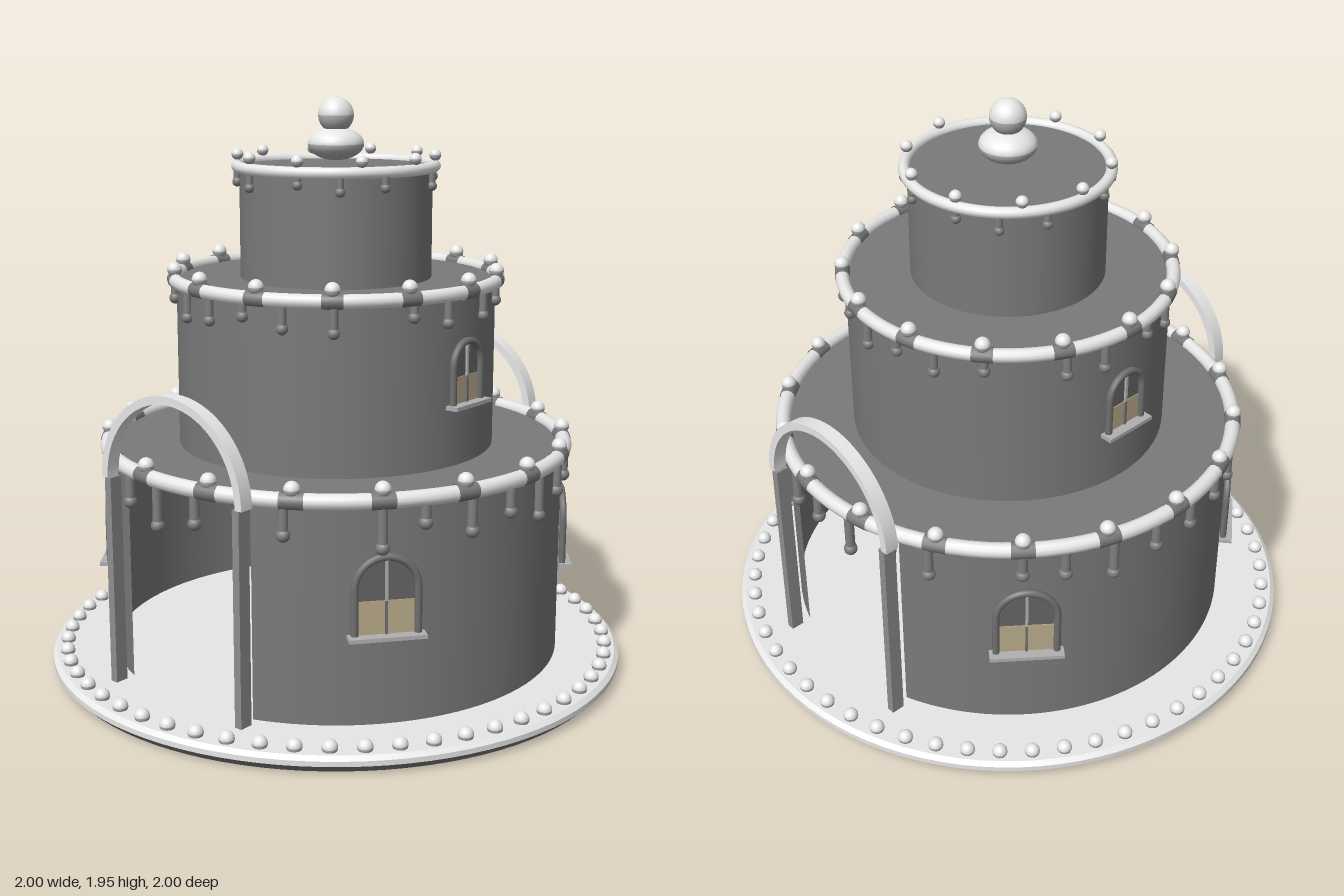
import * as THREE from 'three';
import { toCreasedNormals } from 'three/addons/utils/BufferGeometryUtils.js';

const flat = (name, color, side = THREE.FrontSide) => {
  const m = new THREE.MeshStandardMaterial({ color, side });
  m.name = name;
  return m;
};

export function createModel() {
  const model = new THREE.Group();
  const icing = flat('pale icing', 0xebebeb);
  const shade = flat('grey icing', 0xb0b0b0);
  const wall = flat('grey wall', 0x7a7a7a, THREE.DoubleSide);
  const drip = flat('drip grey', 0x808080);
  const post = flat('post grey', 0x8e8e8e);
  const frame = flat('window frame', 0x707070);
  const glass = flat('dark glass', 0x646464);
  const glow = flat('warm pane', 0xb9aa8a);

  const add = (parent, name, geo, mat, x = 0, y = 0, z = 0) => {
    const mesh = new THREE.Mesh(geo, mat);
    mesh.name = name;
    mesh.position.set(x, y, z);
    parent.add(mesh);
    return mesh;
  };
  const group = (name, parent = model) => {
    const g = new THREE.Group();
    g.name = name;
    parent.add(g);
    return g;
  };

  // Ball halves: pale above, grey below
  const halves = (r, seg) => [
    [new THREE.SphereGeometry(r, seg, 8, 0, Math.PI * 2, 0, Math.PI / 2), icing],
    [new THREE.SphereGeometry(r, seg, 8, 0, Math.PI * 2, Math.PI / 2, Math.PI / 2), shade],
  ];

  // Base plate: pale top and edge over a dark bevelled underside
  const lathe = (pts) => toCreasedNormals(
    new THREE.LatheGeometry(pts.map(([x, y]) => new THREE.Vector2(x, y)), 96), 0.5);
  add(model, 'plateUnderside', lathe([[0, 0.004], [0.97, 0.004], [1, 0.033]]), wall);
  add(model, 'plateTop', lathe([[1, 0.033], [1, 0.05], [0.985, 0.063], [0, 0.063]]), icing);

  const beadRing = (parent, name, count, radius, y, size) => {
    const ring = group(name, parent);
    const parts = halves(size, 16);
    for (let i = 0; i < count; i++) {
      const a = (i / count) * Math.PI * 2;
      for (const [geo, mat] of parts) {
        add(ring, 'bead', geo, mat, Math.cos(a) * radius, y, Math.sin(a) * radius);
      }
    }
  };
  beadRing(model, 'plateBeads', 56, 0.95, 0.073, 0.025);

  // Tiers; angles of drips are degrees from the front, repeated in each quadrant
  const tiers = [
    { name: 'lowerTier', r: 0.78, y0: 0.06, y1: 0.788, tube: 0.026, beads: 18, bead: 0.026, collar: 0.095,
      drips: [6, 18, 28, 50, 60, 72, 84], lengths: [0.1, 0.14, 0.1, 0.14, 0.07, 0.12, 0.09], thick: 0.016 },
    { name: 'middleTier', r: 0.542, y0: 0.788, y1: 1.355, tube: 0.023, beads: 14, bead: 0.025, collar: 0.12,
      drips: [7.5, 22, 39, 66, 80], lengths: [0.05, 0.08, 0.09, 0.05, 0.08], thick: 0.014 },
    { name: 'upperTier', r: 0.325, y0: 1.355, y1: 1.728, tube: 0.019, beads: 10, bead: 0.02, collar: 0,
      drips: [18, 42, 68], lengths: [0.03, 0.05, 0.04], thick: 0.012 },
  ];
  const gap = Math.asin(0.27 / 0.78);
  tiers.forEach((t, k) => {
    const g = group(t.name);
    const h = t.y1 - t.y0, mid = (t.y0 + t.y1) / 2;
    if (k === 0) {
      // Two curved walls leave openings at front and back
      for (const start of [gap, Math.PI + gap]) {
        add(g, 'curvedWall', new THREE.CylinderGeometry(t.r, t.r, h, 48, 1, true, start, Math.PI - 2 * gap), wall, 0, mid);
      }
      add(g, 'ceiling', new THREE.CylinderGeometry(t.r, t.r, 0.02, 96), wall, 0, t.y1 - 0.01);
    } else {
      add(g, 'drum', new THREE.CylinderGeometry(t.r, t.r, h, 80), wall, 0, mid);
    }
    const rimR = t.r + 0.008;
    add(g, 'icingRim', new THREE.TorusGeometry(rimR, t.tube, 12, 96), icing, 0, t.y1).rotation.x = Math.PI / 2;
    beadRing(g, 'rimBeads', t.beads, rimR, t.y1 + 0.036, t.bead);

    // Dark collars on the rim under the beads
    if (t.collar) {
      const collarGeo = new THREE.TorusGeometry(rimR, t.tube + 0.002, 12, 4, t.collar);
      for (let i = 0; i < t.beads; i++) {
        const c = add(g, 'rimCollar', collarGeo, wall, 0, t.y1);
        c.rotation.set(Math.PI / 2, 0, (i / t.beads) * Math.PI * 2 - t.collar / 2);
      }
    }

    // Hanging drips, each a rod with a ball at its end
    const drips = group('drips', g);
    const ball = new THREE.SphereGeometry(t.thick * 1.4, 14, 10);
    for (let q = 0; q < 4; q++) {
      t.drips.forEach((deg, i) => {
        const sx = q % 2 ? -1 : 1, sz = q < 2 ? 1 : -1;
        const a = THREE.MathUtils.degToRad(deg);
        const x = sx * Math.sin(a) * rimR, z = sz * Math.cos(a) * rimR;
        const len = t.lengths[(i + q) % t.lengths.length];
        add(drips, 'dripRod', new THREE.CylinderGeometry(t.thick, t.thick, len, 12), drip, x, t.y1 - len / 2 - 0.01, z);
        add(drips, 'dripEnd', ball, drip, x, t.y1 - len - 0.01, z);
      });
    }
  });

  // Free-standing arches at front and back
  const arch = new THREE.Shape();
  arch.absarc(0, 0, 0.307, 0, Math.PI, false);
  arch.absarc(0, 0, 0.28, Math.PI, 0, true);
  const archGeo = toCreasedNormals(
    new THREE.ExtrudeGeometry(arch, { depth: 0.048, bevelEnabled: false, curveSegments: 40 }), 0.5);
  for (const s of [1, -1]) {
    const g = group(s > 0 ? 'frontArch' : 'backArch');
    add(g, 'archRing', archGeo, icing, 0, 0.765, s * 0.788 - 0.024);
    for (const x of [-0.281, 0.281]) {
      add(g, 'archPost', new THREE.BoxGeometry(0.027, 0.705, 0.046), post, x, 0.4125, s * 0.788);
    }
  }

  // Round-headed windows: w is half width, base and spring are heights
  const addWindow = (theta, r, w, base, spring, lit) => {
    const g = group('window');
    g.position.set(Math.sin(theta) * r, base, Math.cos(theta) * r);
    g.rotation.y = theta;
    const h = spring - base;
    const pane = new THREE.Shape();
    pane.moveTo(-w, 0);
    pane.lineTo(w, 0);
    pane.lineTo(w, h);
    pane.absarc(0, h, w, 0, Math.PI, false);
    pane.lineTo(-w, 0);
    add(g, 'glassPane', new THREE.ShapeGeometry(pane, 24), glass, 0, 0, 0.003);
    add(g, 'lowerPane', new THREE.BoxGeometry(w * 2, lit, 0.004), glow, 0, lit / 2, 0.004);
    add(g, 'archedFrame', new THREE.TorusGeometry(w, 0.012, 10, 28, Math.PI), frame, 0, h, 0.008);
    for (const x of [-w, w]) {
      add(g, 'jamb', new THREE.CylinderGeometry(0.012, 0.012, h, 10), frame, x, h / 2, 0.008);
    }
    const top = h + w - lit;
    add(g, 'lowerMullion', new THREE.BoxGeometry(0.008, lit, 0.008), frame, 0, lit / 2, 0.008);
    add(g, 'upperMullion', new THREE.BoxGeometry(0.009, top, 0.008), shade, 0, lit + top / 2, 0.008);
    add(g, 'sill', new THREE.BoxGeometry(w * 2 + 0.045, 0.013, 0.045), shade, 0, -0.004, 0.018);
  };
  const side = THREE.MathUtils.degToRad(51);
  for (const theta of [side, -side, Math.PI - side, Math.PI + side]) addWindow(theta, 0.78, 0.1, 0.36, 0.51, 0.11);
  for (const theta of [Math.PI / 2, -Math.PI / 2]) addWindow(theta, 0.542, 0.075, 0.992, 1.12, 0.09);

  // Finial: flattened ball below a round one
  const finial = group('finial');
  for (const [geo, mat] of halves(0.095, 32)) add(finial, 'finialBase', geo, mat, 0, 1.8).scale.y = 0.58;
  for (const [geo, mat] of halves(0.06, 28)) add(finial, 'finialBall', geo, mat, 0, 1.895);
  return model;
}
